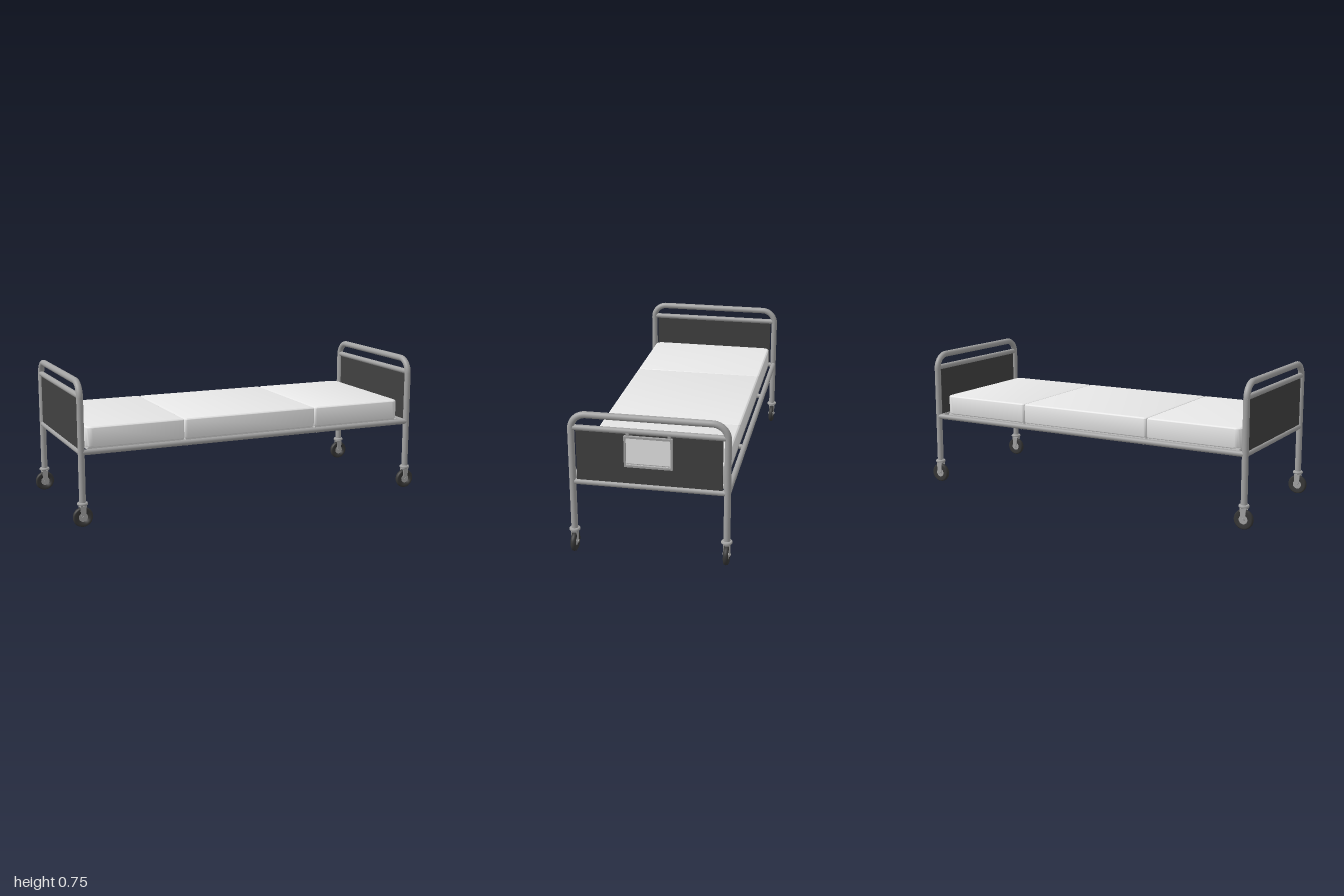
import * as THREE from 'three';
import { toCreasedNormals } from 'three/addons/utils/BufferGeometryUtils.js';

const material = (name, color) => {
  const m = new THREE.MeshStandardMaterial({ color });
  m.name = name;
  return m;
};

export function createModel() {
  const metal = material('grey metal', 0xa2a2a2);
  const dark = material('dark panel', 0x404040);
  const deckGrey = material('deck light grey', 0xd0d0d0);
  const rubber = material('black rubber', 0x363636);
  const fabric = material('mattress fabric', 0xe8e8e8);
  const paper = material('chart paper', 0xe6e6e6);

  const X = 0.948, Z = 0.383, R = 0.017, BEND = 0.076, TOP = 0.7365, RAIL = 0.383;

  const add = (parent, name, geometry, mat, x = 0, y = 0, z = 0) => {
    const mesh = new THREE.Mesh(geometry, mat);
    mesh.name = name;
    mesh.position.set(x, y, z);
    parent.add(mesh);
    return mesh;
  };
  const box = (parent, name, mat, w, h, d, x, y, z) =>
    add(parent, name, new THREE.BoxGeometry(w, h, d), mat, x, y, z);
  // Round bar between two points
  const bar = (parent, name, a, b, r, mat = metal) => {
    const p = new THREE.Vector3(...a), q = new THREE.Vector3(...b);
    const mesh = add(parent, name, new THREE.CylinderGeometry(r, r, p.distanceTo(q), 24), mat);
    mesh.position.copy(p).add(q).multiplyScalar(0.5);
    mesh.quaternion.setFromUnitVectors(new THREE.Vector3(0, 1, 0), q.sub(p).normalize());
    return mesh;
  };

  // Swivel caster: collar, stem, fork, tyre and hub
  function caster() {
    const g = new THREE.Group();
    g.name = 'caster';
    const collar = [[0, 0.115], [0.025, 0.115], [0.028, 0.118], [0.028, 0.124], [0.024, 0.129], [0, 0.13]];
    add(g, 'collar', new THREE.LatheGeometry(collar.map(p => new THREE.Vector2(...p)), 28), metal);
    bar(g, 'stem', [0, 0.105, 0], [0, 0.118, 0], 0.009);
    box(g, 'forkCrown', metal, 0.034, 0.005, 0.032, 0, 0.109, 0);

    const plate = new THREE.Shape();
    plate.moveTo(-0.017, 0.111);
    plate.lineTo(0.017, 0.111);
    plate.lineTo(0.012, 0.054);
    plate.absarc(0, 0.054, 0.012, 0, -Math.PI, true);
    plate.closePath();
    for (const s of [-1, 1]) {
      const geo = new THREE.ExtrudeGeometry(plate, { depth: 0.003, bevelEnabled: false, curveSegments: 10 });
      add(g, 'forkPlate', geo, metal, 0, 0, s * 0.0145 - 0.0015);
    }
    bar(g, 'axle', [0, 0.054, -0.02], [0, 0.054, 0.02], 0.006);

    const tyre = [[0.024, -0.01], [0.044, -0.0125], [0.05, -0.009], [0.0525, 0],
      [0.05, 0.009], [0.044, 0.0125], [0.024, 0.01], [0.024, -0.01]];
    const wheel = add(g, 'tyre', new THREE.LatheGeometry(tyre.map(p => new THREE.Vector2(...p)), 36),
      rubber, 0, 0.0525, 0);
    wheel.rotation.x = Math.PI / 2;
    bar(g, 'wheelHub', [0, 0.0525, -0.008], [0, 0.0525, 0.008], 0.025);
    return g;
  }

  // Head or foot end: bent tube, two cross bars, panel and casters
  function endFrame(x) {
    const g = new THREE.Group();
    g.name = x < 0 ? 'headEnd' : 'footEnd';
    g.position.x = x;
    for (const s of [-1, 1]) {
      bar(g, 'leg', [0, 0.125, s * Z], [0, TOP - BEND, s * Z], R);
      const bend = add(g, 'bend', new THREE.TorusGeometry(BEND, R, 20, 20, Math.PI / 2), metal,
        0, TOP - BEND, s * (Z - BEND));
      bend.rotation.y = -s * Math.PI / 2;
      const c = caster();
      c.position.z = s * Z;
      g.add(c);
    }
    bar(g, 'topBar', [0, TOP, BEND - Z], [0, TOP, Z - BEND], R);
    bar(g, 'upperCrossBar', [0, 0.668, -Z], [0, 0.668, Z], 0.0145);
    bar(g, 'lowerCrossBar', [0, RAIL, -Z], [0, RAIL, Z], 0.0145);
    box(g, 'endPanel', dark, 0.01, 0.28, 0.718, 0, 0.527, 0);
    return g;
  }

  // Chart holder hung on the foot end
  function chartHolder() {
    const g = new THREE.Group();
    g.name = 'chartHolder';
    g.position.set(X + 0.012, 0.568, 0);
    for (const s of [-1, 1]) {
      box(g, 'frameSide', metal, 0.016, 0.16, 0.01, 0, 0, s * 0.114);
      box(g, 'frameEdge', metal, 0.016, 0.01, 0.238, 0, s * 0.075, 0);
      box(g, 'hook', metal, 0.005, 0.02, 0.016, -0.001, 0.09, s * 0.102);
    }
    box(g, 'backing', metal, 0.006, 0.145, 0.222, -0.003, 0, 0);
    box(g, 'sheet', paper, 0.004, 0.138, 0.216, 0.002, 0.001, 0);
    box(g, 'clipStrip', metal, 0.006, 0.003, 0.212, 0.003, -0.062, 0);
    return g;
  }

  // Cushion with soft edges; ra and rb round the plan corners at its two ends
  function cushion(x0, x1, ra, rb) {
    const b = 0.011, h = 0.108, z = 0.361 - b, a = x0 + b, c = x1 - b;
    const s = new THREE.Shape();
    s.moveTo(a + ra, -z);
    s.lineTo(c - rb, -z);
    s.quadraticCurveTo(c, -z, c, -z + rb);
    s.lineTo(c, z - rb);
    s.quadraticCurveTo(c, z, c - rb, z);
    s.lineTo(a + ra, z);
    s.quadraticCurveTo(a, z, a, z - ra);
    s.lineTo(a, -z + ra);
    s.quadraticCurveTo(a, -z, a + ra, -z);
    const geo = new THREE.ExtrudeGeometry(s, {
      depth: h - 2 * b, bevelSize: b, bevelThickness: b, bevelSegments: 5, curveSegments: 8,
    });
    geo.rotateX(-Math.PI / 2);
    geo.translate(0, 0.397 + b, 0);
    return toCreasedNormals(geo, 0.7);
  }

  // Mattress sections with the deck under each
  function mattress() {
    const g = new THREE.Group();
    g.name = 'mattress';
    const cuts = [-0.912, -0.384, 0.376, 0.906];
    for (let i = 0; i < 3; i++) {
      const a = cuts[i], b = cuts[i + 1], w = b - a, mid = (a + b) / 2;
      add(g, 'cushion', cushion(a, b, i === 0 ? 0.03 : 0.004, i === 2 ? 0.03 : 0.004), fabric);
      box(g, 'deck', deckGrey, w - 0.012, 0.012, 0.712, mid, 0.394, 0);
      for (const s of [-1, 1]) {
        box(g, 'deckRim', metal, w - 0.012, 0.01, 0.006, mid, 0.385, s * 0.353);
        box(g, 'deckRim', metal, 0.006, 0.01, 0.7, mid + s * (w / 2 - 0.017), 0.385, 0);
      }
    }
    for (const x of [cuts[1], cuts[2]])
      bar(g, 'deckCrossBar', [x, RAIL - 0.002, -0.385], [x, RAIL - 0.002, 0.385], 0.0125);
    return g;
  }

  const model = new THREE.Group();
  model.name = 'wheeledBed';
  model.add(endFrame(-X), endFrame(X), chartHolder(), mattress());
  for (const s of [-1, 1])
    bar(model, 'sideRail', [-X, RAIL + 0.002, s * 0.385], [X, RAIL + 0.002, s * 0.385], 0.0145);
  return model;
}
